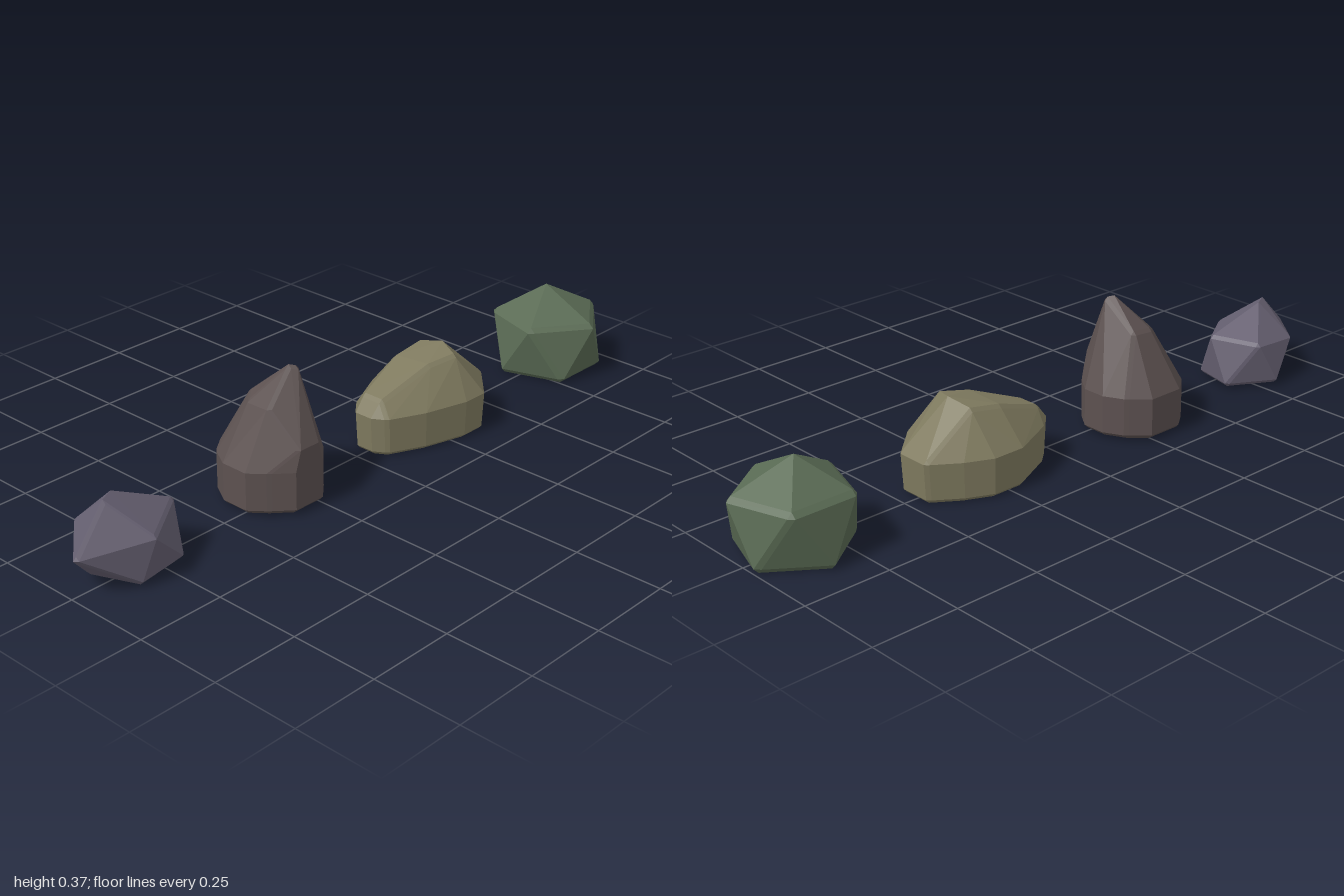
import * as THREE from 'three';
import { ConvexGeometry } from 'three/addons/geometries/ConvexGeometry.js';

// Faceted stone: hull of its corner points, with every corner and edge chamfered
function rock(name, color, bevel, corners) {
  const pts = corners.map((c) => new THREE.Vector3(...c));
  const box = new THREE.Box3().setFromPoints(pts);
  const centre = box.getCenter(new THREE.Vector3());
  const size = box.getSize(new THREE.Vector3());
  // pull the corners in so the chamfered stone keeps its full extent
  const inset = new THREE.Vector3(
    1 - (2 * bevel) / size.x, 1 - (2 * bevel) / size.y, 1 - (2 * bevel) / size.z);
  const hull = [];
  for (const p of pts) {
    const q = p.clone().sub(centre).multiply(inset).add(centre);
    for (const axis of ['x', 'y', 'z']) {
      for (const s of [-bevel, bevel]) {
        const v = q.clone();
        v[axis] += s;
        hull.push(v);
      }
    }
  }
  const mesh = new THREE.Mesh(
    new ConvexGeometry(hull),
    new THREE.MeshStandardMaterial({ color, flatShading: true }));
  mesh.name = name;
  return mesh;
}

// Upright wall: the same [x, z] outline at a bottom and a top height, foot slightly drawn in
function wall(outline, y0, y1, foot, cx, cz) {
  return outline.flatMap(([x, z]) => [
    [cx + (x - cx) * foot, y0, cz + (z - cz) * foot],
    [x, y1, z],
  ]);
}

// Five corners around a vertical axis
function pentagon(r, y, cz, turn) {
  return Array.from({ length: 5 }, (_, i) => {
    const a = turn + (i * Math.PI * 2) / 5;
    return [r * Math.cos(a), y, cz + r * Math.sin(a)];
  });
}

export function createModel() {
  const group = new THREE.Group();
  group.name = 'rocks';

  // round boulder: two opposed pentagons and a blunt top
  group.add(rock('roundRock', 0x5a6b54, 0.014, [
    ...pentagon(0.163, 0.003, -0.845, Math.PI),
    ...pentagon(0.167, 0.165, -0.845, 0),
    [-0.01, 0.258, -0.84],
  ]));

  // long boulder: oval wall rising to a crest near the back
  const oval = [
    [-0.045, -0.467], [0.055, -0.467], [0.148, -0.37], [0.148, -0.29], [0.11, -0.155],
    [0.06, -0.05], [0.025, -0.03], [-0.035, -0.03], [-0.07, -0.07], [-0.138, -0.21],
    [-0.138, -0.31], [-0.1, -0.39],
  ];
  group.add(rock('longRock', 0x7f7a5f, 0.01, [
    ...wall(oval, 0.003, 0.115, 0.97, 0, -0.26),
    [0.085, 0.235, -0.31], [0.02, 0.248, -0.335], [-0.055, 0.232, -0.32],
    [0.06, 0.222, -0.225], [-0.06, 0.215, -0.22],
    [0.03, 0.155, -0.06], [-0.035, 0.155, -0.06],
  ]));

  // pointed rock: rounded octagonal wall with a leaning peak
  const octagon = [
    [-0.065, 0.155], [0.01, 0.155], [0.065, 0.195], [0.11, 0.245], [0.11, 0.35],
    [0.065, 0.4], [0.02, 0.437], [-0.07, 0.437], [-0.135, 0.4], [-0.172, 0.35],
    [-0.172, 0.235], [-0.125, 0.185],
  ];
  group.add(rock('pointedRock', 0x5c5150, 0.01, [
    ...wall(octagon, 0.01, 0.125, 1, -0.03, 0.295),
    [0.11, 0.185, 0.26], [0.11, 0.185, 0.33],
    [-0.085, 0.295, 0.25], [-0.085, 0.29, 0.315],
    [-0.06, 0.28, 0.345], [0.02, 0.285, 0.35],
    [0.012, 0.377, 0.265], [0.025, 0.373, 0.25],
  ]));

  // small rock: skewed pentagons drawn out to a nose at the front
  group.add(rock('nosedRock', 0x655f70, 0.01, [
    [0.085, 0.01, 0.85], [0.06, 0.01, 0.69], [-0.07, 0.01, 0.66],
    [-0.152, 0.012, 0.79], [-0.05, 0.01, 0.905],
    [0.02, 0.115, 1.0], [0.1, 0.13, 0.81], [0.0, 0.145, 0.665],
    [-0.13, 0.135, 0.73], [-0.125, 0.125, 0.88],
    [-0.035, 0.222, 0.835], [-0.012, 0.222, 0.88],
  ]));

  return group;
}
